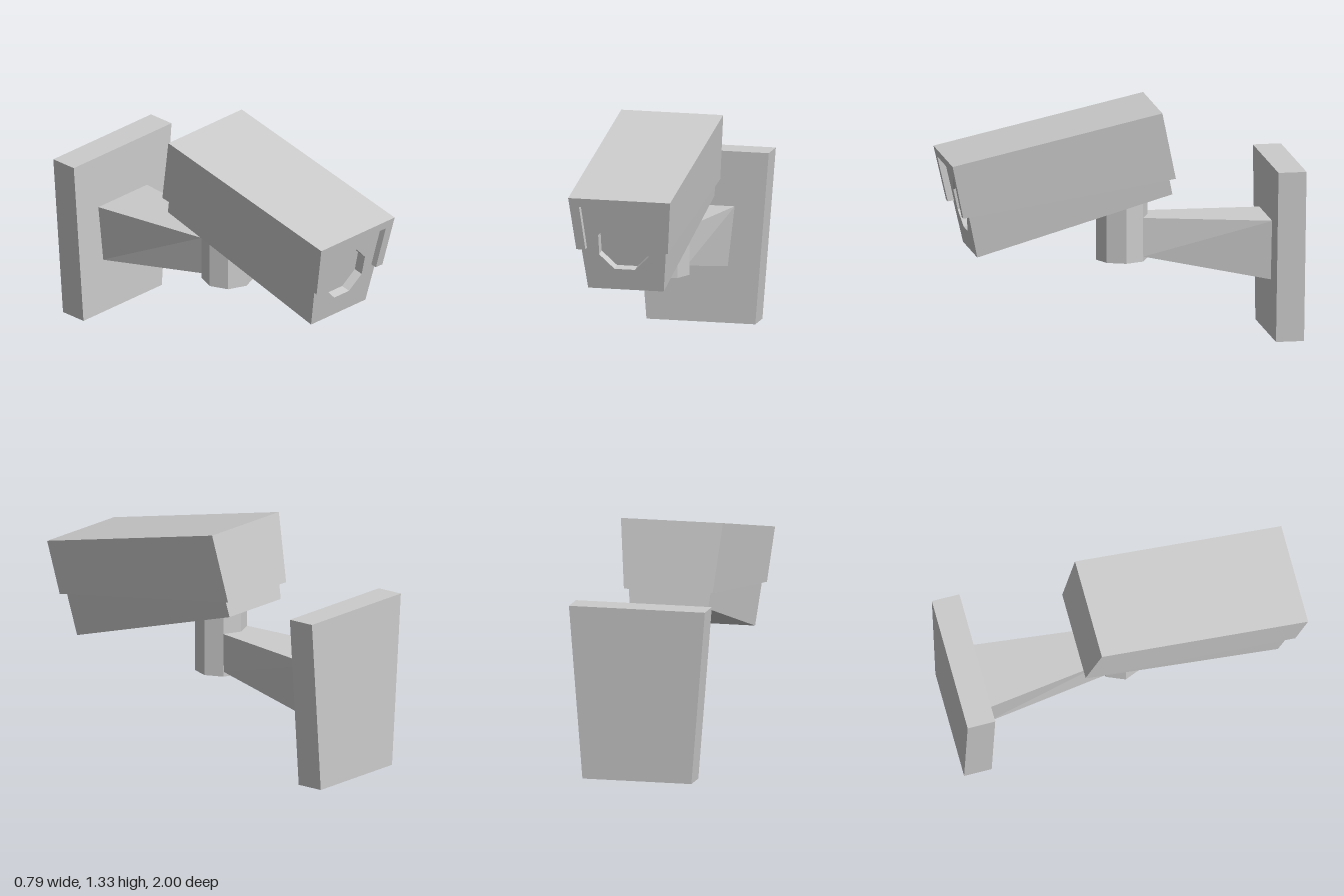
import * as THREE from 'three';

const material = new THREE.MeshStandardMaterial({ color: 0xcccccc, flatShading: true, side: THREE.DoubleSide });

// Joins two matching outlines (counter-clockwise from the front) with flat sides and optional caps
function loft(front, zFront, back, zBack, capFront = true, capBack = true) {
  const pos = [];
  const a = (i) => [front[i][0], front[i][1], zFront];
  const b = (i) => [back[i][0], back[i][1], zBack];
  const tri = (...corners) => corners.forEach((c) => pos.push(...c));
  for (let i = 0; i < front.length; i++) {
    const j = (i + 1) % front.length;
    tri(a(i), b(i), b(j));
    tri(a(i), b(j), a(j));
  }
  const faces = THREE.ShapeUtils.triangulateShape(front.map(([x, y]) => new THREE.Vector2(x, y)), []);
  for (const [i, j, k] of faces) {
    if (capFront) tri(a(i), a(j), a(k));
    if (capBack) tri(b(k), b(j), b(i));
  }
  const geometry = new THREE.BufferGeometry();
  geometry.setAttribute('position', new THREE.Float32BufferAttribute(pos, 3));
  geometry.computeVertexNormals();
  return geometry;
}

// Symmetric four-sided outline
const trapezoid = (bottom, halfBottom, top, halfTop) =>
  [[-halfBottom, bottom], [halfBottom, bottom], [halfTop, top], [-halfTop, top]];

function add(parent, name, geometry) {
  const mesh = new THREE.Mesh(geometry, material);
  mesh.name = name;
  parent.add(mesh);
  return mesh;
}

export function createModel() {
  const model = new THREE.Group();
  model.name = 'securityCamera';

  // Wall mount: plate, tapering arm and eight-sided post
  const plate = trapezoid(0, 0.315, 0.985, 0.393);
  add(model, 'wallPlate', loft(plate, -0.84, plate, -1));
  add(model, 'arm', loft(trapezoid(0.473, 0.102, 0.695, 0.105), -0.122,
    trapezoid(0.325, 0.156, 0.67, 0.196), -0.845));
  add(model, 'post', new THREE.CylinderGeometry(0.147, 0.147, 0.425, 8)).position.set(0, 0.6575, -0.018);

  // Tilted head: origin at the top front edge of the hood, +z along its axis
  const head = new THREE.Group();
  head.name = 'cameraHead';
  head.position.set(0, 1.07, 1);
  head.rotation.x = 0.2147;
  model.add(head);

  // Hood: U-shaped front rim, then a solid shell
  const hoodOutline = (bottom) => trapezoid(bottom, 0.295 + 0.097 * bottom, 0, 0.295);
  const rim = (bottom) => {
    const [left, right, topRight, topLeft] = hoodOutline(bottom);
    return [right, topRight, topLeft, left,
      [-0.212, bottom], [-0.235, -0.051], [0.235, -0.051], [0.212, bottom]];
  };
  const joint = -0.1, jointBottom = -0.319;
  add(head, 'hoodRim', loft(rim(-0.312), 0, rim(jointBottom), joint, true, false));
  add(head, 'hood', loft(hoodOutline(jointBottom), joint, hoodOutline(-0.395), -1.224));

  // Body under the hood, its front left open for the face panel
  const bodyOutline = (bottom) => trapezoid(bottom, 0.278 + 0.106 * bottom, -0.04, 0.274);
  const faceZ = -0.036, lensY = -0.294, lensDepth = 0.055, lensRadius = 0.155;
  add(head, 'body', loft(bodyOutline(-0.561), faceZ, bodyOutline(-0.484), -1.19, false));

  // Face panel with an octagonal opening
  const face = new THREE.Shape(bodyOutline(-0.561).map(([x, y]) => new THREE.Vector2(x, y)));
  const opening = [];
  for (let i = 0; i < 8; i++) {
    const angle = Math.PI / 8 + i * Math.PI / 4;
    opening.push(new THREE.Vector2(lensRadius * Math.cos(angle), lensY + lensRadius * Math.sin(angle)));
  }
  face.holes.push(new THREE.Path(opening));
  add(head, 'facePanel', new THREE.ShapeGeometry(face)).position.z = faceZ;

  // Recessed lens: inward-facing wall and flat floor
  const wall = new THREE.CylinderGeometry(lensRadius, lensRadius, lensDepth, 8, 1, true);
  wall.rotateY(Math.PI / 8).rotateX(Math.PI / 2);
  wall.scale(-1, 1, 1);
  add(head, 'lensWall', wall).position.set(0, lensY, faceZ - lensDepth / 2);
  const glass = new THREE.CircleGeometry(lensRadius, 8).rotateZ(Math.PI / 8);
  add(head, 'lens', glass).position.set(0, lensY, faceZ - lensDepth);

  return model;
}
